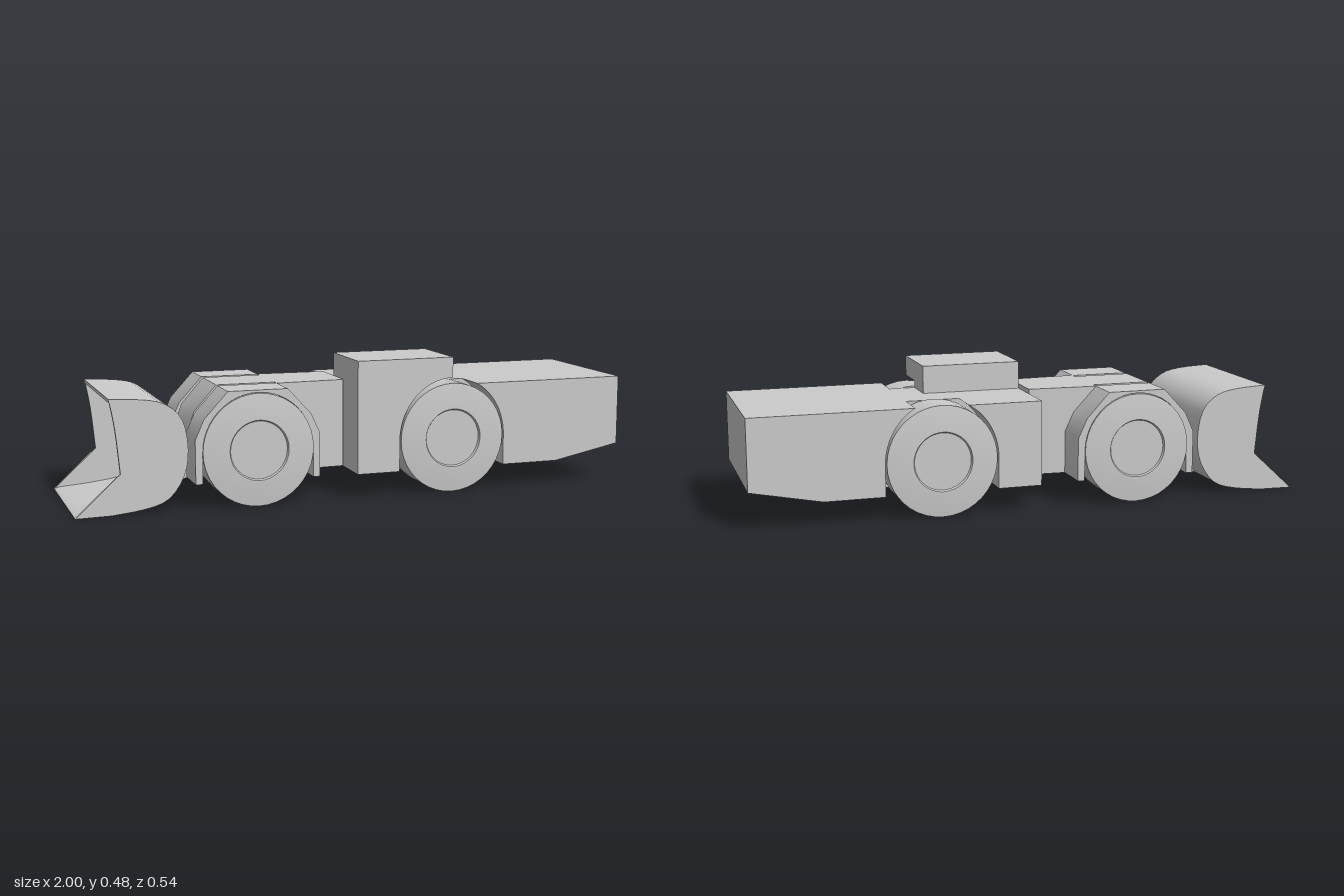
import * as THREE from 'three';
import { toCreasedNormals } from 'three/addons/utils/BufferGeometryUtils.js';

const material = new THREE.MeshStandardMaterial({ color: 0xcccccc, side: THREE.DoubleSide });
const FRONT_X = -0.375, REAR_X = 0.338, AXLE_Y = 0.195;

function add(parent, name, geometry) {
  const mesh = new THREE.Mesh(geometry, material);
  mesh.name = name;
  parent.add(mesh);
  return mesh;
}

// Side profile in x/y, extruded from z0 to z1
function slab(points, z0, z1) {
  const shape = new THREE.Shape(points.map(([x, y]) => new THREE.Vector2(x, y)));
  const geo = new THREE.ExtrudeGeometry(shape, { depth: z1 - z0, bevelEnabled: false });
  geo.translate(0, 0, z0);
  return toCreasedNormals(geo, 0.5);
}

function arc(cx, cy, rx, ry, a0, a1, n = 16) {
  const pts = [];
  for (let i = 0; i <= n; i++) {
    const a = a0 + (a1 - a0) * i / n;
    pts.push([cx + rx * Math.cos(a), cy + ry * Math.sin(a)]);
  }
  return pts;
}

function spline(points, n) {
  return new THREE.SplineCurve(points.map(([x, y]) => new THREE.Vector2(x, y)))
    .getPoints(n).map(p => [p.x, p.y]);
}

function createBucket() {
  const bucket = new THREE.Group();
  bucket.name = 'bucket';
  const outer = [[-1, 0], ...spline([[-0.88, 0.002], [-0.765, 0.016], [-0.685, 0.045], [-0.632, 0.12],
    [-0.617, 0.21], [-0.635, 0.31], [-0.69, 0.365], [-0.765, 0.385], [-0.88, 0.392]], 24)];
  const inner = [[-0.88, 0.38], ...spline([[-0.765, 0.372], [-0.7, 0.352], [-0.648, 0.3],
    [-0.631, 0.21], [-0.645, 0.13], [-0.695, 0.06], [-0.765, 0.03], [-0.88, 0.014]], 20), [-0.985, 0.006]];
  add(bucket, 'bucketShell', slab([...outer, ...inner], -0.25, 0.25));
  // Side plates with a curved opening edge
  const plate = [...outer, ...spline([[-0.88, 0.392], [-0.862, 0.29], [-0.847, 0.14]], 8).slice(1)];
  for (const s of [-1, 1]) add(bucket, 'bucketSide', slab(plate, s * 0.244 - 0.006, s * 0.244 + 0.006));
  return bucket;
}

function createWheel(x, side) {
  const profile = [[0, 0.137], [0.195, 0.137], [0.195, 0.263], [0.112, 0.272],
    [0.104, 0.272], [0.1, 0.264], [0, 0.264]].map(([r, h]) => new THREE.Vector2(r, h));
  const geo = toCreasedNormals(new THREE.LatheGeometry(profile, 40), 0.5);
  const wheel = new THREE.Mesh(geo, material);
  wheel.name = 'wheel';
  wheel.rotation.x = side * Math.PI / 2;
  wheel.position.set(x, AXLE_Y, 0);
  return wheel;
}

function createFrontFrame() {
  const frame = new THREE.Group();
  frame.name = 'frontFrame';
  // Boom and narrow centre between the fenders
  add(frame, 'boom', slab([[-0.68, 0.045], [-0.57, 0.088], [-0.26, 0.088], [-0.26, 0.4], [-0.48, 0.4],
    [-0.56, 0.31], [-0.585, 0.24], [-0.585, 0.18], [-0.63, 0.16]], -0.096, 0.096));
  // Hitch block, tapering towards the rear
  const hitch = new THREE.BoxGeometry(0.25, 0.312, 0.25);
  const pos = hitch.attributes.position;
  for (let i = 0; i < pos.count; i++) if (pos.getX(i) > 0) pos.setZ(i, pos.getZ(i) * 0.9);
  hitch.translate(-0.145, 0.244, 0);
  hitch.computeVertexNormals();
  add(frame, 'hitchBlock', hitch);
  // Faceted fenders around a round arch
  const half = [[0.22, 0.088], [0.22, 0.24], [0.188, 0.31], [0.105, 0.4]];
  const fender = [
    ...half.map(([x, y]) => [FRONT_X + x, y]),
    ...half.map(([x, y]) => [FRONT_X - x, y]).reverse(),
    [FRONT_X - 0.195, 0.088],
    ...arc(FRONT_X, AXLE_Y, 0.195, 0.197, Math.PI, 0, 24),
    [FRONT_X + 0.195, 0.088],
  ];
  add(frame, 'fenderLeft', slab(fender, 0.117, 0.258));
  add(frame, 'fenderRight', slab(fender, -0.258, -0.117));
  return frame;
}

function createRearBody() {
  const body = new THREE.Group();
  body.name = 'rearBody';
  const bottom = 0.085, top = 0.385, cabTop = 0.483, front = -0.018, cabBack = 0.338;
  const rx = 0.2, ry = 0.215, inner = 0.13, outer = 0.263;
  const open = Math.asin((top - AXLE_Y) / ry);
  const tail = [[0.75, bottom], [1, 0.135], [1, top]];
  add(body, 'core', slab([[front, bottom], ...tail, [front, top]], -inner, inner));

  // Sides are cut by the wheel arches, which break through the deck
  const rearSide = [[REAR_X + rx, bottom], ...tail, ...arc(REAR_X, AXLE_Y, rx, ry, open, 0)];
  const frontSide = [[front, bottom], [REAR_X - rx, bottom],
    ...arc(REAR_X, AXLE_Y, rx, ry, Math.PI, Math.PI - open), [front, top]];
  const cabSide = [[front, bottom], [REAR_X - rx, bottom],
    ...arc(REAR_X, AXLE_Y, rx, ry, Math.PI, Math.PI / 2), [cabBack, cabTop], [front, cabTop]];
  add(body, 'rearSideLeft', slab(rearSide, inner, outer));
  add(body, 'rearSideRight', slab(rearSide, -outer, -inner));
  add(body, 'frontSideRight', slab(frontSide, -outer, -inner));
  add(body, 'cabSide', slab(cabSide, inner, outer));
  add(body, 'cab', slab([[front, top], [cabBack, top], [cabBack, cabTop], [front, cabTop]], 0, inner));
  return body;
}

export function createModel() {
  const model = new THREE.Group();
  model.name = 'loader';
  model.add(createBucket(), createFrontFrame(), createRearBody());
  for (const x of [FRONT_X, REAR_X]) {
    for (const side of [-1, 1]) model.add(createWheel(x, side));
    const axle = add(model, 'axle', new THREE.CylinderGeometry(0.05, 0.05, 0.28, 20));
    axle.rotation.x = Math.PI / 2;
    axle.position.set(x, AXLE_Y, 0);
  }
  return model;
}
